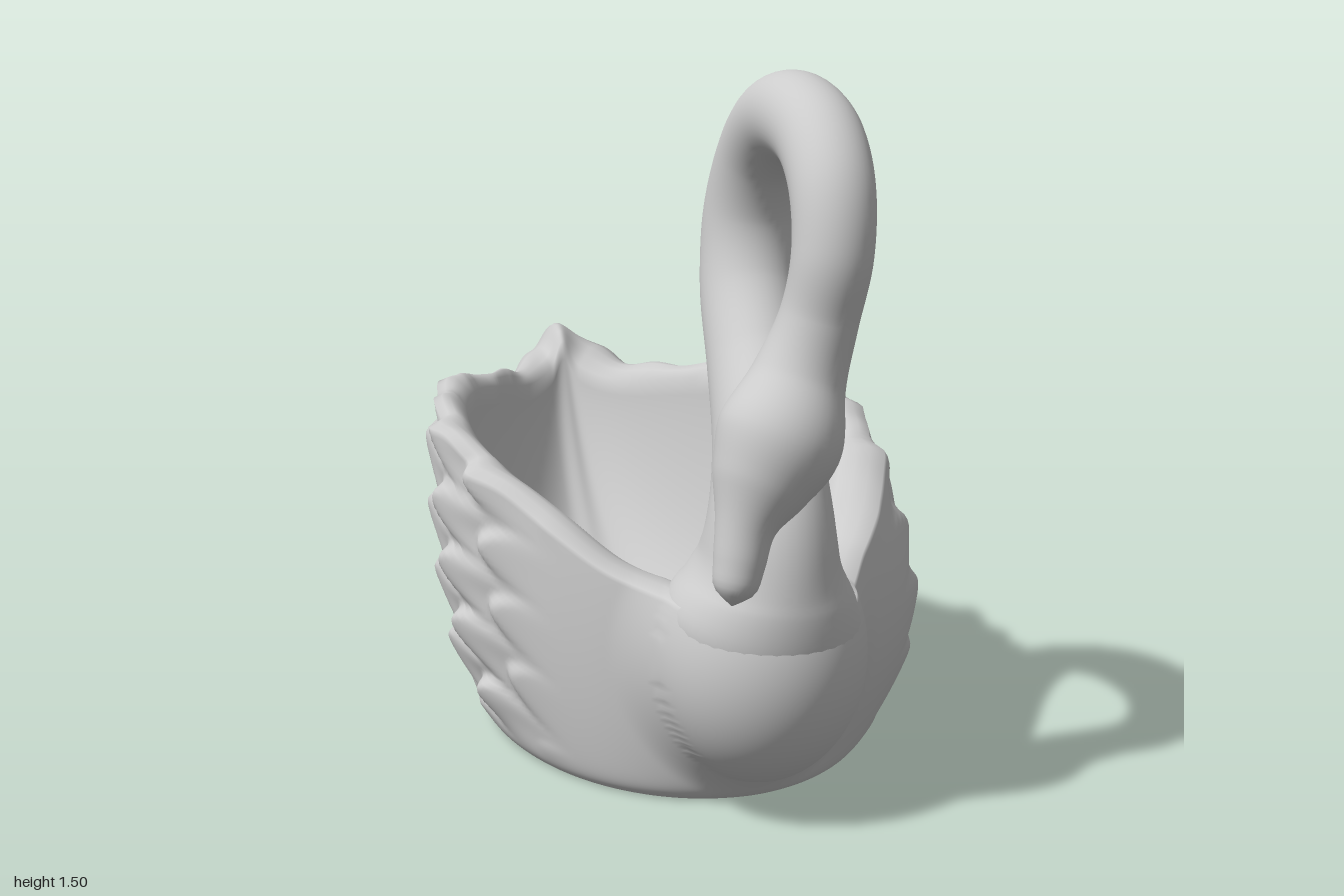
import * as THREE from 'three';

const material = new THREE.MeshStandardMaterial({ color: 0xcccccc });
const { lerp, smoothstep } = THREE.MathUtils;

// Skin a stack of closed rings (arrays of Vector3) with smooth normals
function loft(name, rings) {
  const n = rings[0].length, pos = [], index = [];
  rings.forEach(r => r.forEach(p => pos.push(p.x, p.y, p.z)));
  for (let i = 0; i < rings.length - 1; i++) {
    for (let j = 0; j < n; j++) {
      const k = (j + 1) % n;
      const a = i * n + j, b = i * n + k, c = a + n, d = b + n;
      index.push(a, b, d, a, d, c);
    }
  }
  const g = new THREE.BufferGeometry();
  g.setAttribute('position', new THREE.Float32BufferAttribute(pos, 3));
  g.setIndex(index);
  g.computeVertexNormals();
  const mesh = new THREE.Mesh(g, material);
  mesh.name = name;
  return mesh;
}

// Rim stations from the breast round the left side to the tail and back:
// outer x, outer z, height, inner x, inner z
const rim = [
  [0.05, 0.74, 0.46, 0.02, 0.53], [0.20, 0.68, 0.46, 0.14, 0.51],
  [0.31, 0.56, 0.49, 0.22, 0.46], [0.42, 0.38, 0.60, 0.29, 0.35],
  [0.46, 0.15, 0.69, 0.36, 0.16], [0.46, -0.10, 0.74, 0.37, -0.08],
  [0.41, -0.32, 0.75, 0.33, -0.28], [0.27, -0.52, 0.72, 0.20, -0.46],
  [0.13, -0.74, 0.69, 0.05, -0.64], [0.05, -0.90, 0.715, -0.04, -0.73],
  [-0.06, -0.995, 0.78, -0.08, -0.76], [-0.14, -0.90, 0.715, -0.12, -0.72],
  [-0.21, -0.76, 0.69, -0.19, -0.63], [-0.30, -0.56, 0.71, -0.27, -0.51],
  [-0.43, -0.36, 0.74, -0.37, -0.32], [-0.50, -0.14, 0.74, -0.43, -0.12],
  [-0.52, 0.08, 0.71, -0.44, 0.10], [-0.48, 0.25, 0.66, -0.39, 0.25],
  [-0.37, 0.43, 0.58, -0.28, 0.40], [-0.24, 0.58, 0.49, -0.17, 0.47],
  [-0.11, 0.68, 0.46, -0.08, 0.51],
];
const closed = f => new THREE.CatmullRomCurve3(rim.map(f), true, 'catmullrom');
const outerRim = closed(r => new THREE.Vector3(r[0], r[2], r[1]));
const innerRim = closed(r => new THREE.Vector3(r[3], r[2] - 0.02, r[4]));

// Overlapping feather scallops sweeping back and up
function feather(z, y) {
  const along = -z * 0.9 + y * 0.42, across = z * 0.42 + y * 0.9;
  const warp = across / 0.125 + 0.2 * Math.sin(along * 7);
  const row = Math.floor(warp), p = (warp - row) * 2 - 1;
  const s = along / 0.22 + row * 0.5 + 0.15 * Math.sin(row * 5.3) + 0.4 * p * p;
  const q = s - Math.floor(s);
  return (1 - p * p) * q * smoothstep(1 - q, 0, 0.25);
}

// Front of the breast at a given x and y
function breastFront(x, y) {
  const d = ((x - 0.05) / 0.22) ** 2 + ((y - 0.34) / 0.27) ** 2;
  return 0.675 + 0.235 * Math.sqrt(Math.max(1 - d, 0)) - 0.3 * Math.max(d - 1, 0);
}

function smoothMax(a, b, k) {
  const h = Math.max(k - Math.abs(a - b), 0) / k;
  return Math.max(a, b) + h * h * k / 4;
}

const SEG = 360, ROWS = 60;

function makeBody() {
  const group = new THREE.Group();
  group.name = 'body';
  const stations = Array.from({ length: SEG }, (_, j) => {
    const o = outerRim.getPoint(j / SEG), n = innerRim.getPoint(j / SEG);
    o.y += 0.01 * Math.sin(o.z * 27 + o.x * 5) * smoothstep(0.5 - o.z, 0, 0.3);
    const a = Math.atan2(o.x / 0.5, o.z / 0.85);
    const base = new THREE.Vector3(0.02 + 0.41 * Math.sin(a), 0, 0.035 + 0.585 * Math.cos(a));
    const floor = new THREE.Vector3(0.36 * Math.sin(a), 0.1, 0.16 + 0.36 * Math.cos(a));
    const out = new THREE.Vector3(o.x / 0.28, 0, o.z / 0.9).normalize();
    return { o, n, base, floor, out };
  });
  const rings = [];
  // Outer wall: flares quickly at the sides, slowly under the tail
  for (let i = 0; i <= ROWS; i++) {
    const v = (i / ROWS) ** 1.3;
    rings.push(stations.map(({ o, base, out }) => {
      const ends = smoothstep(Math.abs(o.z), 0.35, 0.8);
      const s = lerp(1 - (1 - v) ** 2.6, 1 - (1 - v) ** 1.55, ends);
      const p = base.clone().lerp(o, s);
      p.y = o.y * v;
      p.x += 0.08 * Math.sin(Math.PI * v) * smoothstep(o.x, 0.1, 0.45);
      // Rounded foot
      p.addScaledVector(out, 0.022 * (1 - Math.exp(-v / 0.03)) * (1 - v));
      const mask = smoothstep(0.5 - p.z, 0, 0.3) * smoothstep(p.z, -0.95, -0.6)
        * smoothstep(v, 0.03, 0.2);
      p.addScaledVector(out, (0.045 * feather(p.z, p.y) - 0.014) * mask);
      // Breast swelling smoothly out of the front wall
      if (p.z > 0.3) p.z = smoothMax(p.z, breastFront(p.x, p.y), 0.14);
      return p;
    }));
  }
  const lip = rings[ROWS];
  // Rounded lip
  for (const t of [0.25, 0.5, 0.75]) {
    rings.push(stations.map(({ n }, j) => {
      const p = lip[j].clone().lerp(n, t);
      p.y += 0.022 * Math.sin(Math.PI * t);
      return p;
    }));
  }
  // Hollow inside, curving down to the floor
  for (let i = 0; i <= 20; i++) {
    const v = i / 20;
    rings.push(stations.map(({ n, floor }) => {
      const p = n.clone().lerp(floor, v ** 1.4);
      p.y = lerp(n.y, 0.1, 1 - (1 - v) ** 1.5);
      return p;
    }));
  }
  const floorCentre = new THREE.Vector3(0, 0.09, 0.16);
  for (const t of [0.1, 0.5, 1]) {
    rings.push(stations.map(({ floor }) => floor.clone().lerp(floorCentre, t)));
  }
  group.add(loft('featheredBowl', rings));
  // Flat underside
  const centre = new THREE.Vector3(0.02, 0, 0.035);
  group.add(loft('underside', [stations.map(() => centre), rings[0]]));
  // Raised ring round the drain in the floor
  const drain = new THREE.Mesh(new THREE.TorusGeometry(0.034, 0.012, 10, 28), material);
  drain.name = 'drainRing';
  drain.rotation.x = Math.PI / 2;
  drain.position.set(0.1, 0.095, 0);
  group.add(drain);
  return group;
}

// Neck root, neck, head and bill as one swept form: x, y, z, radius
const spine = [
  [0.05, 0.30, 0.68, 0.17], [0.05, 0.40, 0.70, 0.20],
  [0.055, 0.49, 0.715, 0.195], [0.06, 0.61, 0.715, 0.166], [0.08, 0.75, 0.62, 0.136],
  [0.10, 0.90, 0.475, 0.114], [0.11, 1.05, 0.37, 0.103], [0.12, 1.19, 0.345, 0.10],
  [0.13, 1.32, 0.40, 0.096], [0.135, 1.395, 0.50, 0.093], [0.14, 1.41, 0.61, 0.09],
  [0.145, 1.37, 0.74, 0.086], [0.14, 1.28, 0.835, 0.082], [0.13, 1.16, 0.87, 0.078],
  [0.11, 1.04, 0.855, 0.077], [0.075, 0.93, 0.85, 0.092], [0.03, 0.82, 0.873, 0.122],
  [-0.015, 0.73, 0.89, 0.095], [-0.045, 0.66, 0.905, 0.06], [-0.06, 0.59, 0.915, 0.05],
  [-0.07, 0.54, 0.92, 0.04], [-0.075, 0.51, 0.92, 0.002],
];

function makeNeck() {
  const path = new THREE.CatmullRomCurve3(spine.map(s => new THREE.Vector3(s[0], s[1], s[2])));
  const size = new THREE.CatmullRomCurve3(
    spine.map((s, i) => new THREE.Vector3(s[3], i, 0)), false, 'catmullrom');
  const steps = 200, sides = 40;
  const frames = path.computeFrenetFrames(steps, false);
  const rings = [];
  for (let i = 0; i <= steps; i++) {
    const t = path.getUtoTmapping(i / steps);
    const p = path.getPoint(t), r = Math.max(size.getPoint(t).x, 0.002);
    // The root of the neck is narrower across than it is deep
    const narrow = 1 - 0.24 * smoothstep(p.y, 0.42, 0.56) * smoothstep(0.3 - t, 0, 0.15);
    rings.push(Array.from({ length: sides }, (_, j) => {
      const a = j / sides * Math.PI * 2;
      const q = p.clone().addScaledVector(frames.normals[i], r * Math.cos(a))
        .addScaledVector(frames.binormals[i], r * Math.sin(a));
      q.x = lerp(p.x, q.x, narrow);
      // Flatten the back of the root so it stays within the bowl wall
      const flat = 1 - smoothstep(q.y, 0.38, 0.47);
      if (q.z < 0.57) q.z = lerp(q.z, 0.57, flat);
      return q;
    }));
  }
  return loft('neckHeadAndBill', rings);
}

export function createModel() {
  const model = new THREE.Group();
  model.name = 'swanPlanter';
  model.add(makeBody(), makeNeck());
  return model;
}
